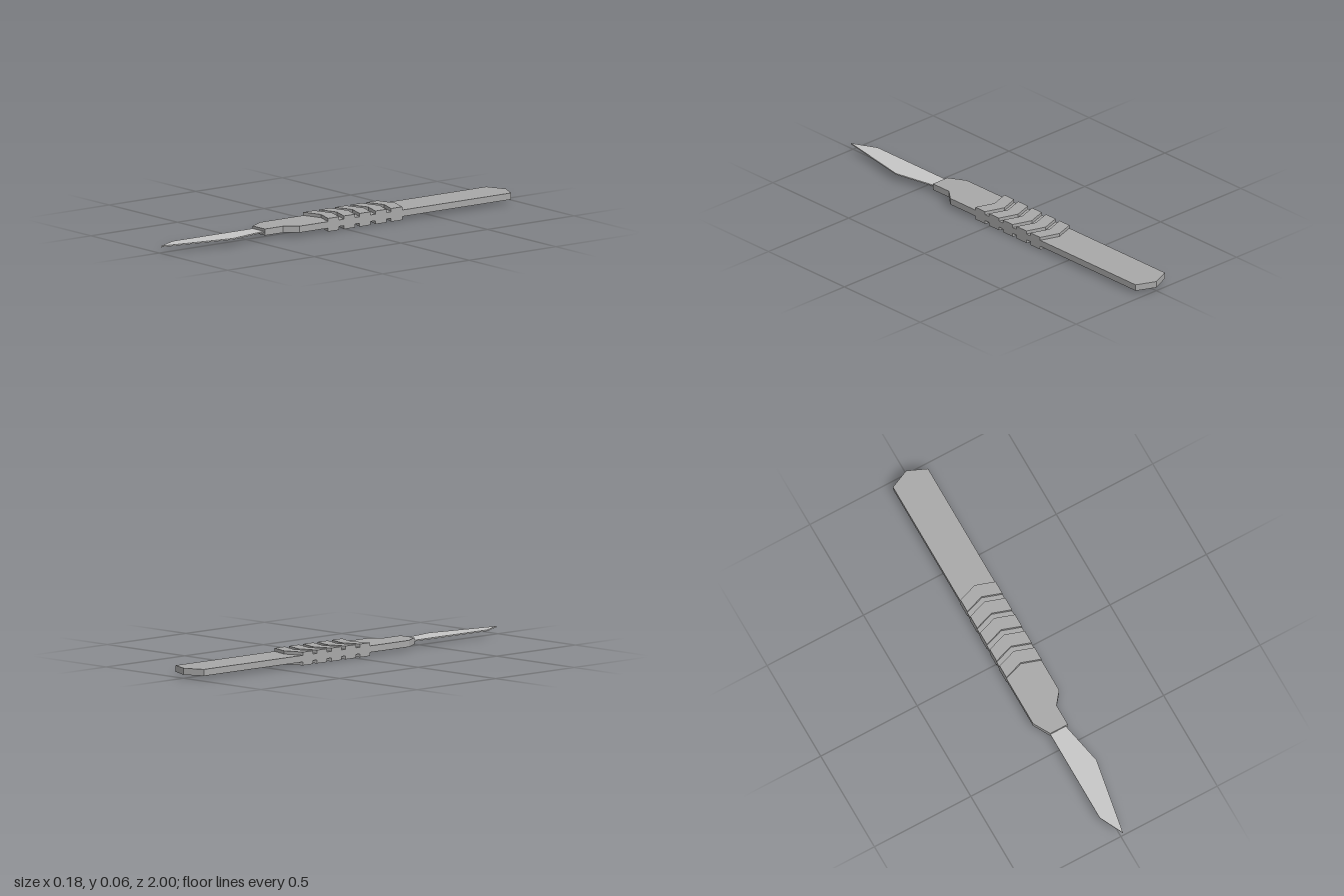
import * as THREE from 'three';

const steel = new THREE.MeshStandardMaterial({ name: 'handleSteel', color: 0xa8a8a8 });
const bright = new THREE.MeshStandardMaterial({ name: 'bladeSteel', color: 0xc6c6c6 });

// Flat plate from an outline of [x, z] points, between heights y0 and y1
function plate(name, outline, y0, y1, material) {
  const shape = new THREE.Shape(outline.map(([x, z]) => new THREE.Vector2(x, -z)));
  const geometry = new THREE.ExtrudeGeometry(shape, { depth: y1 - y0, bevelEnabled: false });
  geometry.rotateX(-Math.PI / 2).translate(0, y0, 0);
  const mesh = new THREE.Mesh(geometry, material);
  mesh.name = name;
  return mesh;
}

export function createModel() {
  const model = new THREE.Group();
  model.name = 'scalpel';
  const W = 0.091, bottom = 0.016, top = 0.046, height = 0.061;

  // Handle with pointed rear end and narrowed neck
  model.add(plate('handle', [
    [0, -1], [-W, -0.96], [-W, 0.345], [-0.046, 0.425],
    [0.045, 0.425], [0.045, 0.32], [W, 0.262], [W, -0.96],
  ], bottom, top, steel));

  // Chevron grip ridges on both faces
  const grip = new THREE.Group();
  grip.name = 'grip';
  for (let i = 0; i < 5; i++) {
    const front = 0.097 - i * 0.091, back = front - 0.064, v = 0.031;
    const chevron = [
      [-W, front], [0, front - v], [W, front],
      [W, back], [0, back - v], [-W, back],
    ];
    grip.add(plate('upperRidge', chevron, top, height, steel));
    grip.add(plate('lowerRidge', chevron, 0, bottom, steel));
  }
  model.add(grip);

  // Thin angled blade, its root set into the neck
  model.add(plate('blade', [
    [-0.046, 0.41], [-0.046, 0.885], [0.011, 1], [0.077, 0.635], [0.036, 0.43], [0.036, 0.41],
  ], 0.028, 0.034, bright));

  return model;
}
